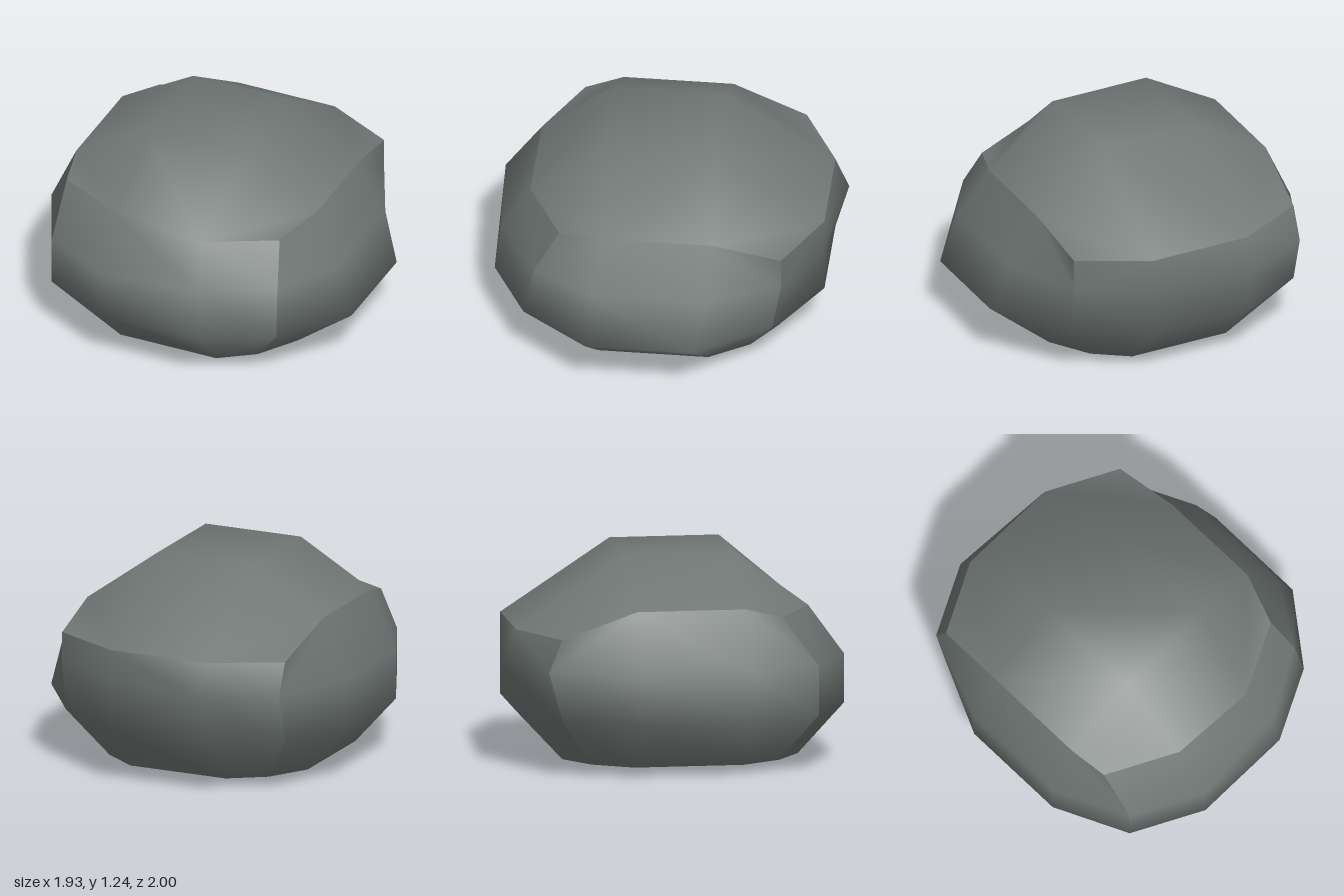
import * as THREE from 'three';

// Horizontal cross-sections, 12 points each [x, y, z], counter-clockwise from the front right corner
// (points 0-3 front, 3-6 left side, 6-9 back, 9-12 right side).
const flat = (y, pts) => pts.map(([x, z]) => [x, y, z]);
const rings = [
  flat(0.05, [[-0.57, 0.59], [-0.36, 0.73], [0.25, 0.73], [0.45, 0.59], [0.6, 0.36], [0.6, -0.28],
    [0.45, -0.51], [0.25, -0.65], [-0.36, -0.65], [-0.57, -0.51], [-0.71, -0.28], [-0.71, 0.36]]),
  flat(0.34, [[-0.77, 0.79], [-0.36, 1], [0.25, 1], [0.66, 0.79], [0.96, 0.4], [0.96, -0.23],
    [0.66, -0.66], [0.25, -0.92], [-0.36, -0.92], [-0.77, -0.71], [-0.97, -0.28], [-0.97, 0.36]]),
  flat(0.63, [[-0.77, 0.79], [-0.36, 1], [0.24, 0.96], [0.64, 0.73], [0.86, 0.38], [0.86, -0.29],
    [0.66, -0.71], [0.25, -0.92], [-0.36, -1], [-0.77, -0.79], [-0.97, -0.28], [-0.97, 0.36]]),
  [[-0.77, 0.92, 0.58], [-0.36, 0.92, 0.79], [0.18, 0.87, 0.8], [0.59, 0.87, 0.59],
    [0.69, 0.92, 0.3], [0.69, 0.92, -0.31], [0.66, 0.82, -0.71], [0.25, 0.82, -0.92],
    [-0.36, 0.82, -0.92], [-0.77, 0.82, -0.71], [-0.81, 0.98, -0.28], [-0.81, 0.98, 0.36]],
];

// Rows of a cap, front to back, around four inner points at height y
function capRows(r, y) {
  const inner = (x, z) => [x, y, z];
  return [
    [r[0], r[1], r[2], r[3]],
    [r[11], inner(-0.36, 0.36), inner(0.25, 0.36), r[4]],
    [r[10], inner(-0.36, -0.28), inner(0.25, -0.28), r[5]],
    [r[9], r[8], r[7], r[6]],
  ];
}

// A 4 x 4 grid of points, smooth inside and sharp at its border
function patch(name, rows, material) {
  const index = [];
  for (let v = 0; v < 3; v++) {
    for (let u = 0; u < 3; u++) {
      const a = v * 4 + u, b = a + 1, c = a + 5, d = a + 4;
      // Diagonals cut across the rounded corners
      if ((u === 0 && v === 2) || (u === 2 && v === 0)) index.push(a, b, c, a, c, d);
      else index.push(a, b, d, b, c, d);
    }
  }
  const geometry = new THREE.BufferGeometry();
  geometry.setAttribute('position', new THREE.Float32BufferAttribute(rows.flat(2), 3));
  geometry.setIndex(index);
  geometry.computeVertexNormals();
  const mesh = new THREE.Mesh(geometry, material);
  mesh.name = name;
  return mesh;
}

export function createModel() {
  const stone = new THREE.MeshStandardMaterial({ color: 0x707876 });
  stone.name = 'stone grey';
  const rock = new THREE.Group();
  rock.name = 'rock';

  // Four sides
  ['frontSide', 'leftSide', 'backSide', 'rightSide'].forEach((name, i) => {
    const rows = rings.map((r) => [0, 1, 2, 3].map((k) => r[(i * 3 + k) % 12]));
    rock.add(patch(name, rows, stone));
  });

  // Domed top and nearly flat underside
  rock.add(patch('top', capRows(rings[3], 1.24), stone));
  rock.add(patch('underside', capRows(rings[0], 0).reverse(), stone));
  return rock;
}
